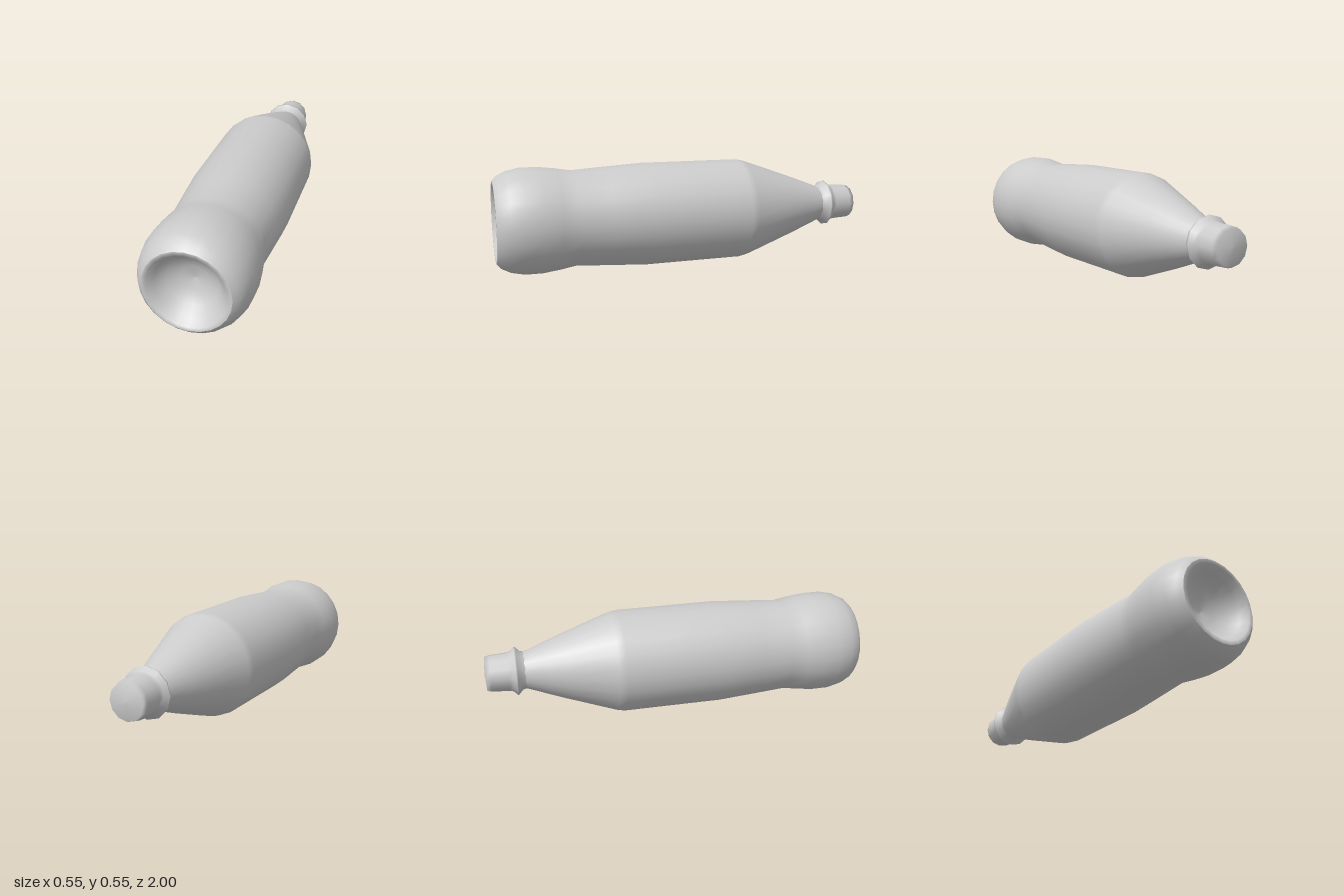
import * as THREE from 'three';

const AXIS_HEIGHT = 0.276;

// Turns a [radius, z] profile around the lying bottle's long axis.
function turned(name, profile, sides, material) {
  const geometry = new THREE.LatheGeometry(profile.map(([r, z]) => new THREE.Vector2(r, z)), sides);
  geometry.rotateX(Math.PI / 2);
  const mesh = new THREE.Mesh(geometry, material);
  mesh.name = name;
  mesh.position.y = AXIS_HEIGHT;
  return mesh;
}

export function createModel() {
  const bottle = new THREE.Group();
  bottle.name = 'bottle';
  const material = new THREE.MeshStandardMaterial({ color: 0xcccccc, side: THREE.DoubleSide });

  // Closed mouth, straight neck and flared collar
  bottle.add(turned('neck', [
    [0, -1], [0.088, -0.994], [0.095, -0.97], [0.1, -0.88], [0.106, -0.86],
    [0.126, -0.843], [0.124, -0.835], [0.102, -0.815], [0.095, -0.79],
  ], 12, material));

  // Tapered shoulder, straight body, waist and rounded foot
  bottle.add(turned('body', [
    [0.094, -0.8], [0.14, -0.68], [0.17, -0.6], [0.262, -0.34], [0.27, -0.3],
    [0.271, 0], [0.272, 0.22], [0.26, 0.42], [0.248, 0.6], [0.262, 0.68],
    [0.273, 0.77], [0.273, 0.86], [0.258, 0.93], [0.235, 0.975], [0.21, 0.998],
  ], 24, material));

  // Hollow dome pushed up into the base
  bottle.add(turned('baseHollow', [
    [0.21, 0.998], [0.19, 0.998], [0.165, 0.96], [0.125, 0.915], [0.065, 0.885], [0, 0.875],
  ], 24, material));

  return bottle;
}
